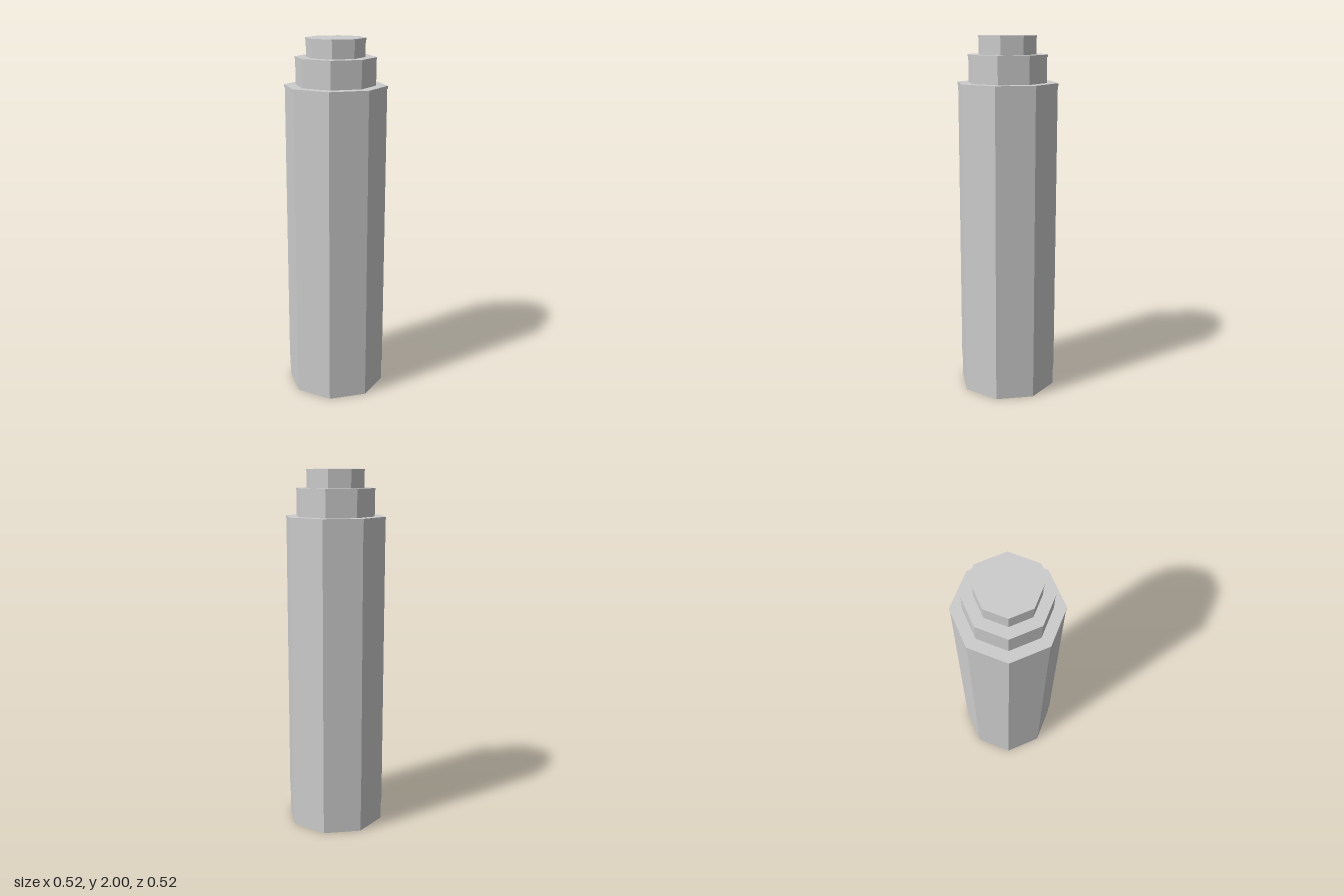
import * as THREE from 'three';

// Open octagonal post with stepped top tiers, each ending in a thin lip.
export function createModel() {
  const group = new THREE.Group();
  const grey = new THREE.MeshStandardMaterial({ color: 0xcccccc, side: THREE.DoubleSide, flatShading: true });
  grey.name = 'light grey';

  // Profile points are [distance to flat side, height]; flats face the axes.
  const octagon = (name, profile) => {
    const points = profile.map(([r, y]) => new THREE.Vector2(r / Math.cos(Math.PI / 8), y));
    const geometry = new THREE.LatheGeometry(points, 8, Math.PI / 8).toNonIndexed();
    geometry.computeVertexNormals();
    const mesh = new THREE.Mesh(geometry, grey);
    mesh.name = name;
    group.add(mesh);
  };

  // Hollow shaft, slightly narrower at the foot, open underneath
  octagon('shaft', [
    [0.254, 0], [0.254, 0.12], [0.257, 0.12], [0.257, 1.735],
    [0.26, 1.735], [0.26, 1.75], [0, 1.75],
  ]);

  // Stepped cap tiers
  const tiers = [
    ['middleTier', 0.205, 1.75, 1.9],
    ['topTier', 0.151, 1.9, 2],
  ];
  for (const [name, r, bottom, top] of tiers) {
    octagon(name, [
      [r - 0.003, bottom], [r - 0.003, top - 0.012],
      [r, top - 0.012], [r, top], [0, top],
    ]);
  }
  return group;
}
